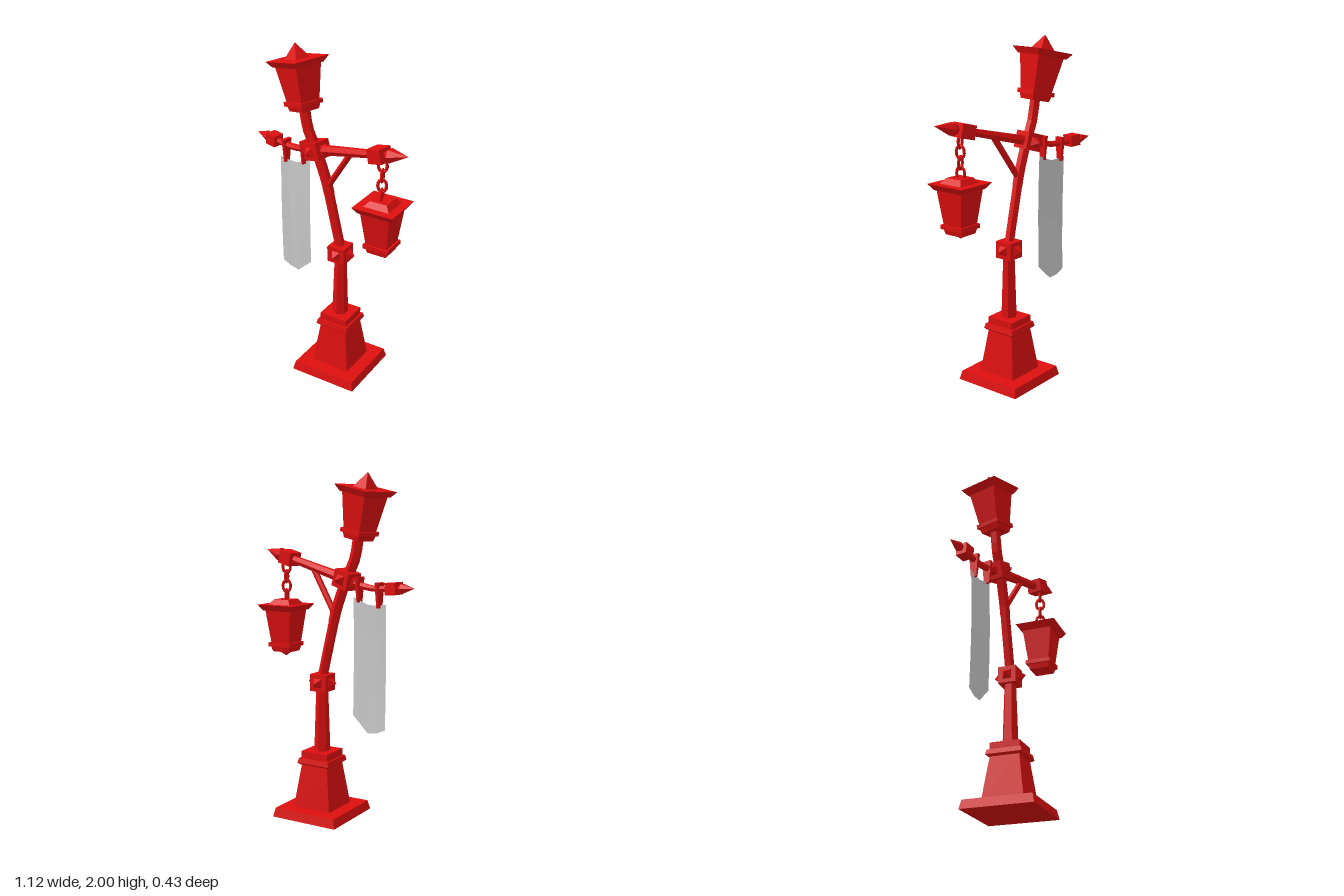
import * as THREE from 'three';

const red = new THREE.MeshStandardMaterial({ color: 0xdd0f0f, flatShading: true });
const grey = new THREE.MeshStandardMaterial({ color: 0xcccccc, flatShading: true, side: THREE.DoubleSide });
const V = (x, y, z = 0) => new THREE.Vector3(x, y, z);

function add(parent, name, geometry, pos = V(0, 0), material = red) {
  const mesh = new THREE.Mesh(geometry, material);
  mesh.name = name;
  mesh.position.copy(pos);
  parent.add(mesh);
  return mesh;
}

// Square tapered block between two heights, given half widths
function block(parent, name, y0, y1, half0, half1) {
  const g = new THREE.CylinderGeometry(half1 * Math.SQRT2, half0 * Math.SQRT2, y1 - y0, 4);
  g.rotateY(Math.PI / 4);
  return add(parent, name, g, V(0, (y0 + y1) / 2));
}

// Six-sided rod between two points
function rod(parent, name, a, b, r0, r1) {
  const dir = b.clone().sub(a);
  const mesh = add(parent, name, new THREE.CylinderGeometry(r1, r0, dir.length(), 6), a.clone().lerp(b, 0.5));
  mesh.quaternion.setFromUnitVectors(V(0, 1), dir.normalize());
  return mesh;
}

// Six-sided bent bar through points
function bentBar(parent, name, points, radius) {
  const curve = new THREE.CatmullRomCurve3(points);
  return add(parent, name, new THREE.TubeGeometry(curve, 10, radius, 6));
}

function subgroup(parent, name, pos, yaw = 0, roll = 0) {
  const g = new THREE.Group();
  g.name = name;
  g.position.copy(pos);
  g.rotation.set(0, yaw, roll, 'YZX');
  parent.add(g);
  return g;
}

// Cube with a small pyramid on each of its four sides
function studdedJoint(parent, name, pos, yaw, roll) {
  const joint = subgroup(parent, name, pos, yaw, roll);
  add(joint, 'jointCube', new THREE.BoxGeometry(0.108, 0.1, 0.108));
  for (let i = 0; i < 4; i++) {
    const g = new THREE.ConeGeometry(0.037, 0.042, 4);
    g.rotateY(Math.PI / 4).rotateX(Math.PI / 2).translate(0, 0, 0.075).rotateY(i * Math.PI / 2);
    add(joint, 'jointStud', g);
  }
}

// Pointed end piece along local +x
function finial(parent, x, scale) {
  const profile = [[0, 0], [0.02, 0], [0.042, 0.035], [0, 0.155]].map(([r, y]) => new THREE.Vector2(r, y));
  const mesh = add(parent, 'finial', new THREE.LatheGeometry(profile, 6), V(x, 0));
  mesh.rotation.z = -Math.PI / 2;
  mesh.scale.setScalar(scale);
}

// Lantern with its roof top at local y = 0
function lantern(parent, name, pos, yaw, roll) {
  const g = subgroup(parent, name, pos, yaw, roll);
  block(g, 'lanternRoof', -0.035, 0, 0.1, 0.124);
  block(g, 'lanternBody', -0.24, -0.03, 0.064, 0.09);
  block(g, 'lanternRing', -0.256, -0.232, 0.077, 0.077);
  block(g, 'lanternFoot', -0.287, -0.256, 0.058, 0.066);
  return g;
}

// One elongated chain link
function linkGeometry() {
  const pts = [];
  for (let i = 0; i < 8; i++) {
    const a = (i + 0.5) * Math.PI / 4;
    pts.push(V(Math.cos(a) * 0.024, Math.sin(a) * 0.038));
  }
  return new THREE.TubeGeometry(new THREE.CatmullRomCurve3(pts, true), 10, 0.009, 4, true);
}

// Thin hanging cloth with a slight fold and a pointed lower edge
function bannerGeometry() {
  const top = [[-0.367, 1.285], [-0.31, 1.277], [-0.25, 1.277], [-0.15, 1.315]];
  const bottom = [0.578, 0.553, 0.545, 0.637];
  const depth = [-0.06, -0.058, -0.05, -0.04];
  const g = new THREE.PlaneGeometry(1, 1, 3, 4);
  const p = g.attributes.position;
  for (let i = 0; i < p.count; i++) {
    const col = i % 4, t = Math.floor(i / 4) / 4;
    const [x, y] = top[col];
    p.setXYZ(i, x, y + (bottom[col] - y) * t, depth[col] + 0.006 * Math.sin(t * Math.PI));
  }
  g.computeVertexNormals();
  return g;
}

export function createModel() {
  const model = new THREE.Group();
  model.name = 'streetLamp';

  // Stepped pedestal and lower post
  const base = subgroup(model, 'base', V(0.084, 0, -0.003));
  block(base, 'footPlate', 0, 0.053, 0.212, 0.2);
  block(base, 'pedestal', 0.053, 0.315, 0.122, 0.086);
  block(base, 'mouldingLower', 0.31, 0.32, 0.096, 0.106);
  block(base, 'mouldingUpper', 0.32, 0.348, 0.106, 0.1);
  block(base, 'pedestalCap', 0.345, 0.39, 0.088, 0.088);
  rod(model, 'lowerPost', V(0.084, 0.38), V(0.084, 0.8), 0.048, 0.034);
  studdedJoint(model, 'postJoint', V(0.082, 0.8), 0, 0);

  // Leaning upper post
  rod(model, 'leaningPost', V(0.084, 0.82), V(-0.005, 1.2), 0.029, 0.029);
  bentBar(model, 'bentPost', [V(0.005, 1.16), V(-0.01, 1.22), V(-0.075, 1.4), V(-0.132, 1.52),
    V(-0.15, 1.6), V(-0.162, 1.68, -0.005)], 0.031);
  const hub = V(-0.085, 1.41, -0.01);
  studdedJoint(model, 'armJoint', hub, -0.2, 0.28);

  // Lantern on top of the post
  const topLantern = lantern(model, 'topLantern', V(-0.21, 1.918, -0.014), -0.28, 0.195);
  block(topLantern, 'roofSpike', 0, 0.085, 0.05, 0.001);

  // Long arm with end block, finial and brace
  const arm = subgroup(model, 'longArm', hub, -0.2, 0.23);
  rod(arm, 'armBar', V(0.03, 0), V(0.46, 0), 0.031, 0.023);
  add(arm, 'armBlock', new THREE.BoxGeometry(0.092, 0.08, 0.092), V(0.47, 0));
  finial(arm, 0.515, 1);
  rod(model, 'brace', V(0, 1.21), V(0.165, 1.46, 0.04), 0.018, 0.018);

  // Short sagging arm with end block and finial
  bentBar(model, 'shortArm', [hub, V(-0.18, 1.385, -0.03), V(-0.28, 1.37, -0.05), V(-0.41, 1.376, -0.076)], 0.019);
  const tip = subgroup(model, 'shortArmEnd', V(-0.422, 1.377, -0.077), Math.PI - 0.2, 0.06);
  add(tip, 'armBlock', new THREE.BoxGeometry(0.072, 0.066, 0.07));
  finial(tip, 0.034, 0.7);

  // Hanging lantern and its chain
  const hanging = lantern(model, 'hangingLantern', V(0.398, 1.235, 0.088), 0, 0);
  block(hanging, 'roofCap', 0, 0.03, 0.077, 0.052);
  block(hanging, 'bottomSpike', -0.315, -0.287, 0.001, 0.03);
  const link = linkGeometry();
  for (let i = 0; i < 4; i++) {
    const mesh = add(model, 'chainLink', link, V(0.39, 1.462 - i * 0.058, 0.087));
    mesh.rotation.y = 0.3 + i * Math.PI / 2;
  }

  // Banner and the clips that hold it
  add(model, 'banner', bannerGeometry(), V(0, 0), grey);
  for (const [x, y, z] of [[-0.325, 1.405, -0.06], [-0.187, 1.43, -0.038]]) {
    const clip = subgroup(model, 'bannerClip', V(x, y, z), -0.2);
    const mesh = block(clip, 'clipStrap', -0.142, 0, 0.018, 0.03);
    mesh.scale.x = 0.36;
  }
  return model;
}
